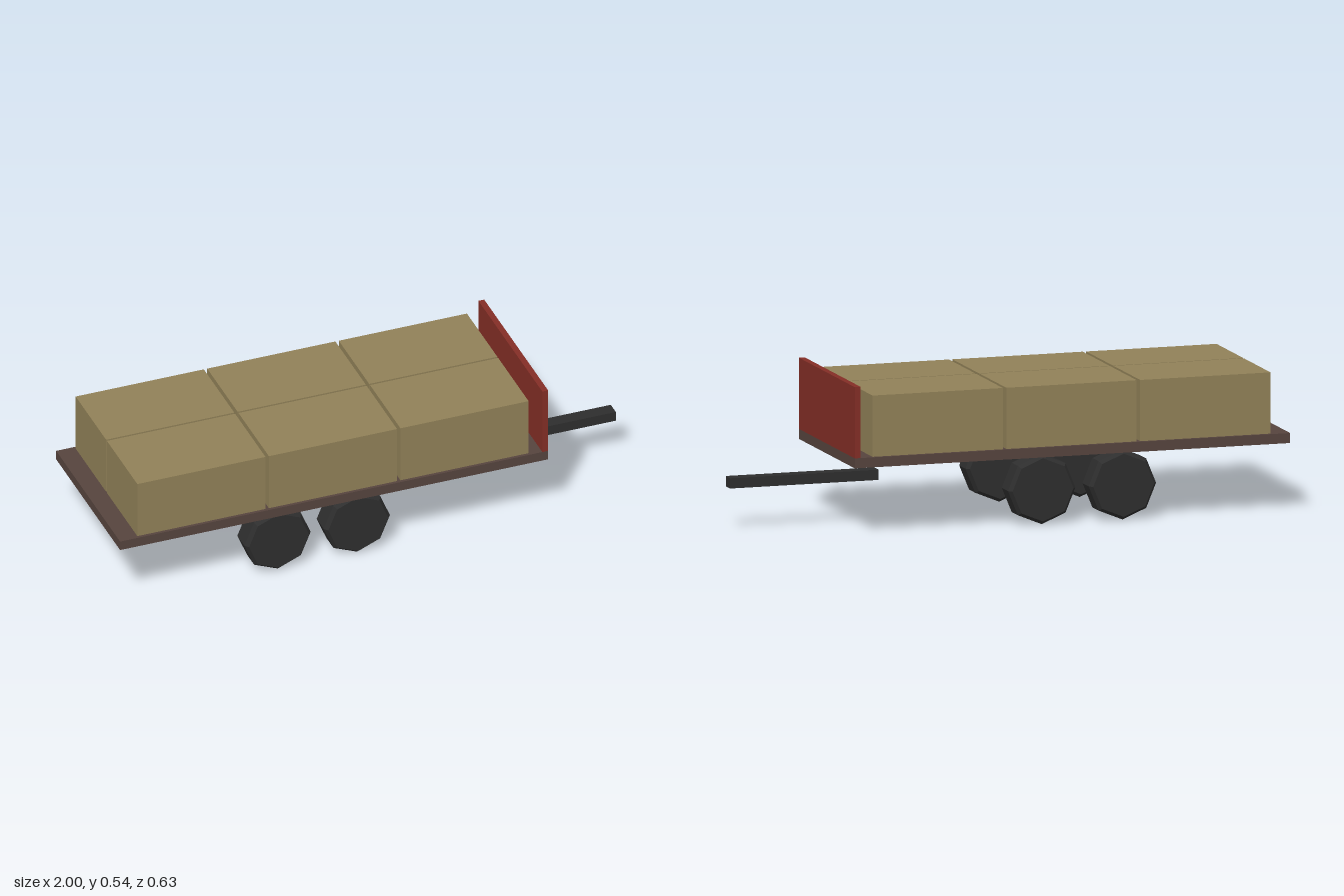
import * as THREE from 'three';

const paint = (name, color) => {
  const m = new THREE.MeshStandardMaterial({ color });
  m.name = name;
  return m;
};

export function createModel() {
  const model = new THREE.Group();
  model.name = 'flatbedTrailer';

  const brown = paint('deckBrown', 0x56443e);
  const red = paint('boardRed', 0x842e26);
  const straw = paint('loadTan', 0x918158);
  const black = paint('rubberBlack', 0x2e2e2e);

  // Box given by its min and max on each axis
  const box = (name, material, [x0, x1], [y0, y1], [z0, z1]) => {
    const mesh = new THREE.Mesh(new THREE.BoxGeometry(x1 - x0, y1 - y0, z1 - z0), material);
    mesh.position.set((x0 + x1) / 2, (y0 + y1) / 2, (z0 + z1) / 2);
    mesh.name = name;
    model.add(mesh);
  };

  // Deck, headboard and drawbar
  box('deck', brown, [-1, 0.63], [0.248, 0.284], [-0.315, 0.315]);
  box('headboard', red, [0.608, 0.63], [0.284, 0.541], [-0.315, 0.315]);
  box('drawbar', black, [0.444, 1], [0.147, 0.184], [-0.025, 0.025]);

  // Load: three rows of two bales
  for (let i = 0; i < 3; i++) {
    const x = -0.93 + i * 0.501;
    for (const side of [-1, 1]) {
      const c = side * 0.154;
      box('bale', straw, [x, x + 0.488], [0.284, 0.505], [c - 0.15, c + 0.15]);
    }
  }

  // Wheels: eight-sided with chamfered rims, flat shaded
  const profile = [[0, -0.05], [0.114, -0.05], [0.126, -0.035], [0.126, 0.035], [0.114, 0.05], [0, 0.05]]
    .map(([r, y]) => new THREE.Vector2(r, y));
  const wheelGeometry = new THREE.LatheGeometry(profile, 8).rotateX(Math.PI / 2).toNonIndexed();
  wheelGeometry.computeVertexNormals();
  for (const x of [-0.385, -0.083]) {
    for (const side of [-1, 1]) {
      const wheel = new THREE.Mesh(wheelGeometry, black);
      wheel.position.set(x, 0.126, side * 0.24);
      wheel.name = 'wheel';
      model.add(wheel);
    }
  }
  return model;
}
